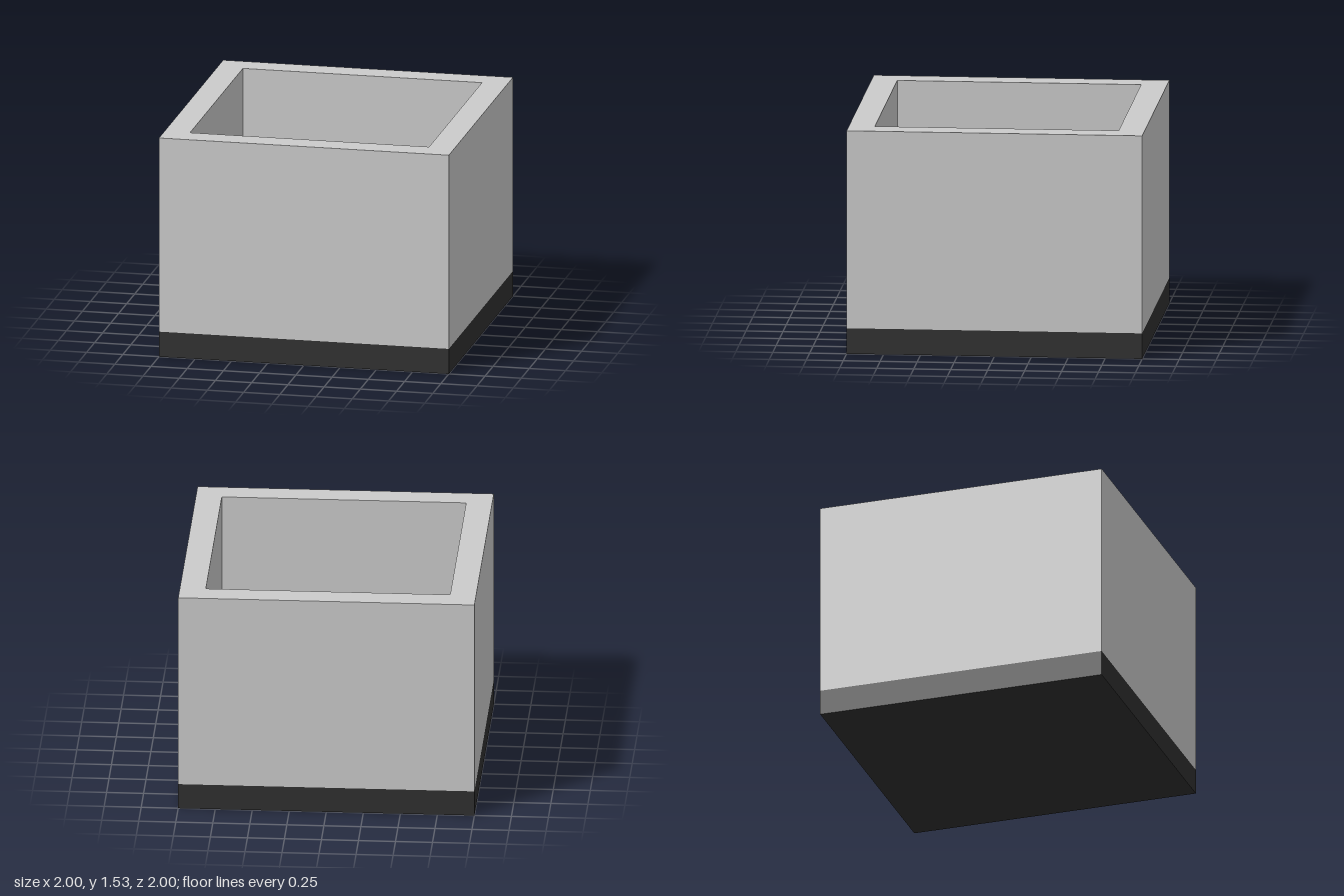
import * as THREE from 'three';

const HALF = 1, INNER = 0.825, BASE_H = 0.175, HEIGHT = 1.53;

// Corner points of a centred square
const square = (h) => [[-h, -h], [h, -h], [h, h], [-h, h]].map(([x, y]) => new THREE.Vector2(x, y));

export function createModel() {
  const group = new THREE.Group();
  group.name = 'openBox';

  // Dark slab that closes the bottom
  const base = new THREE.Mesh(
    new THREE.BoxGeometry(2 * HALF, BASE_H, 2 * HALF),
    new THREE.MeshStandardMaterial({ color: 0x303030 })
  );
  base.name = 'base';
  base.position.y = BASE_H / 2;
  group.add(base);

  // Square ring of thick walls, open at the top
  const outline = new THREE.Shape(square(HALF));
  outline.holes.push(new THREE.Path(square(INNER).reverse()));
  const wallGeometry = new THREE.ExtrudeGeometry(outline, { depth: HEIGHT - BASE_H, bevelEnabled: false });
  wallGeometry.rotateX(-Math.PI / 2);
  const walls = new THREE.Mesh(wallGeometry, new THREE.MeshStandardMaterial({ color: 0xcccccc }));
  walls.name = 'walls';
  walls.position.y = BASE_H;
  group.add(walls);

  return group;
}
